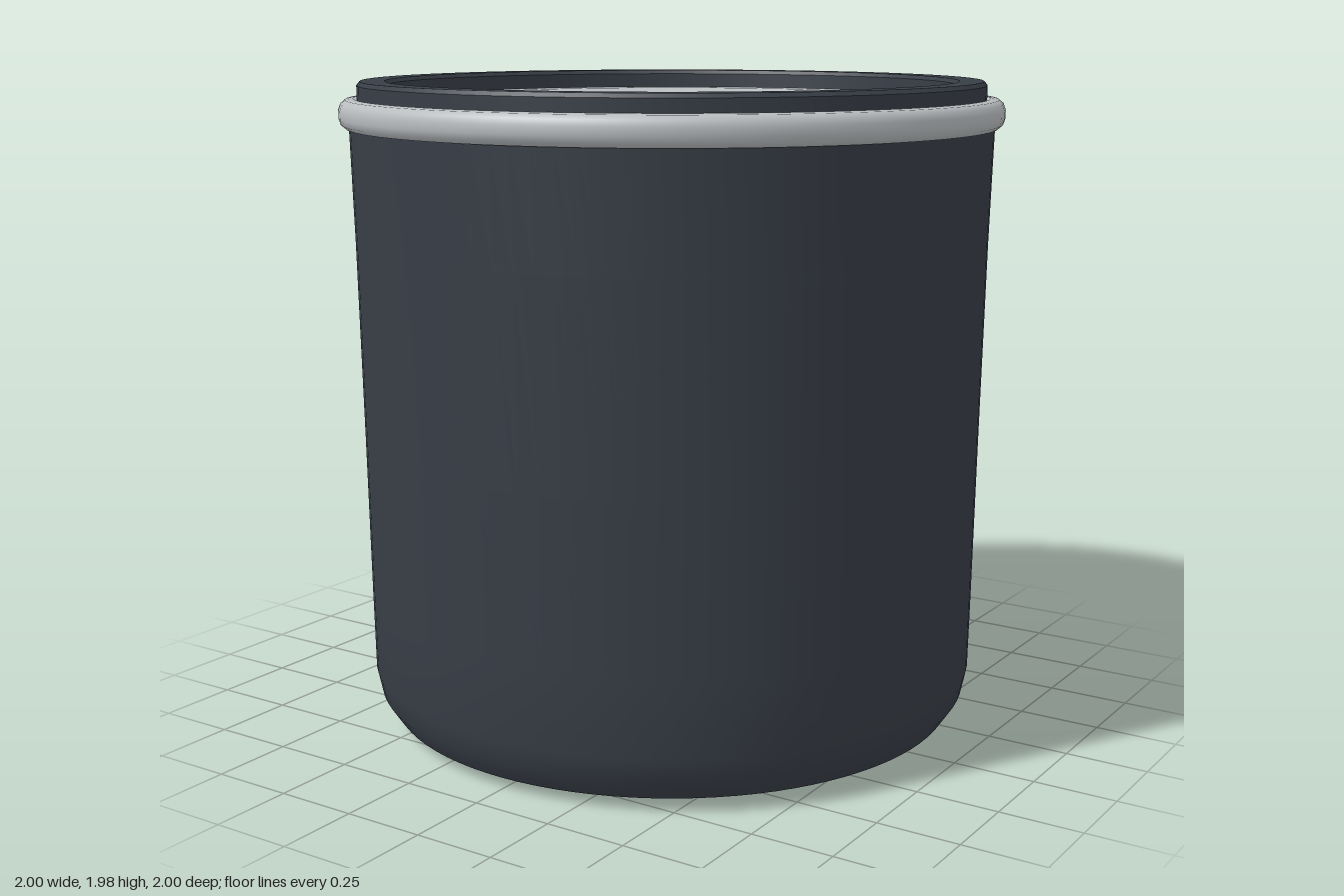
import * as THREE from 'three';
import { toCreasedNormals } from 'three/addons/utils/BufferGeometryUtils.js';

const SEGMENTS = 96;
const PLATE_Y = 1.79;

export function createModel() {
  const model = new THREE.Group();
  model.name = 'canisterFilter';

  const darkPaint = new THREE.MeshStandardMaterial({ color: 0x383e47 });
  darkPaint.name = 'dark paint';
  const bareSteel = new THREE.MeshStandardMaterial({ color: 0xb9bdc0 });
  bareSteel.name = 'bare steel';

  function add(name, geometry, material) {
    const mesh = new THREE.Mesh(geometry, material);
    mesh.name = name;
    model.add(mesh);
    return mesh;
  }

  // Revolved part; profiles run counter-clockwise in (radius, height)
  function turned(name, profile, material, crease = 0.5) {
    const points = profile.map(([r, y]) => new THREE.Vector2(r, y));
    const lathe = new THREE.LatheGeometry(points, SEGMENTS);
    return add(name, toCreasedNormals(lathe, crease), material);
  }

  // Hollow can: rounded foot, slightly flared wall, then the inside down to its floor
  turned('can', [
    [0, 0.01], [0.78, 0.01], [0.8, 0.012], [0.885, 0.035], [0.925, 0.095], [0.941, 0.17],
    [0.945, 0.4], [0.952, 0.9], [0.962, 1.5], [0.971, 1.85],
    [0.94, 1.85], [0.92, 0.4], [0.91, 0.18], [0.87, 0.07], [0.78, 0.04], [0, 0.04],
  ], darkPaint, 0.7);

  // Slightly raised base pad
  turned('basePad', [[0, 0], [0.77, 0], [0.8, 0.012]], darkPaint);

  // Rolled seam, flange and conical dish in one pressed sheet
  turned('seamAndDish', [
    [0.95, 1.835], [0.98, 1.838], [0.994, 1.85], [1, 1.868], [1, 1.893],
    [0.994, 1.91], [0.98, 1.922], [0.955, 1.925], [0.94, 1.918],
    [0.85, 1.918], [0.79, 1.918], [0.61, PLATE_Y],
    [0.61, PLATE_Y - 0.04], [0.8, 1.87], [0.95, 1.87], [0.95, 1.835],
  ], bareSteel, 0.65);

  // Sealing ring standing on the flange
  turned('gasket', [
    [0.85, 1.91], [0.945, 1.91], [0.945, 1.963], [0.935, 1.975],
    [0.862, 1.975], [0.852, 1.963], [0.85, 1.91],
  ], darkPaint);

  // Flat plate with a centre opening and six inlet holes
  const plate = new THREE.Shape().absarc(0, 0, 0.611, 0, Math.PI * 2, false);
  plate.holes.push(new THREE.Path().absarc(0, 0, 0.3, 0, Math.PI * 2, true));
  for (let i = 0; i < 6; i++) {
    const a = (i * Math.PI) / 3;
    const x = 0.535 * Math.cos(a), y = 0.535 * Math.sin(a);
    // Outermost holes stop just short of the plate edge
    plate.holes.push(new THREE.Path().absarc(x * 0.955, y * 0.955, 0.095, 0, Math.PI * 2, true));
  }
  const plateGeometry = new THREE.ExtrudeGeometry(plate, {
    depth: 0.04, bevelEnabled: false, curveSegments: 48,
  });
  plateGeometry.rotateX(-Math.PI / 2);
  plateGeometry.translate(0, PLATE_Y - 0.04, 0);
  add('inletPlate', toCreasedNormals(plateGeometry, 0.5), bareSteel);

  // Threaded hub: low collar above the plate, ridged bore below it
  const hub = [
    [0.318, 1.6], [0.318, 1.808], [0.308, 1.818], [0.298, 1.818], [0.282, 1.8],
  ];
  const ridges = 5, pitch = 0.04;
  for (let i = 0; i < ridges; i++) {
    const y = 1.8 - i * pitch;
    hub.push([0.298, y - pitch * 0.35], [0.275, y - pitch * 0.8], [0.275, y - pitch]);
  }
  hub.push([0.275, 1.6], [0.318, 1.6]);
  turned('threadedHub', hub, bareSteel, 0.4);

  return model;
}
